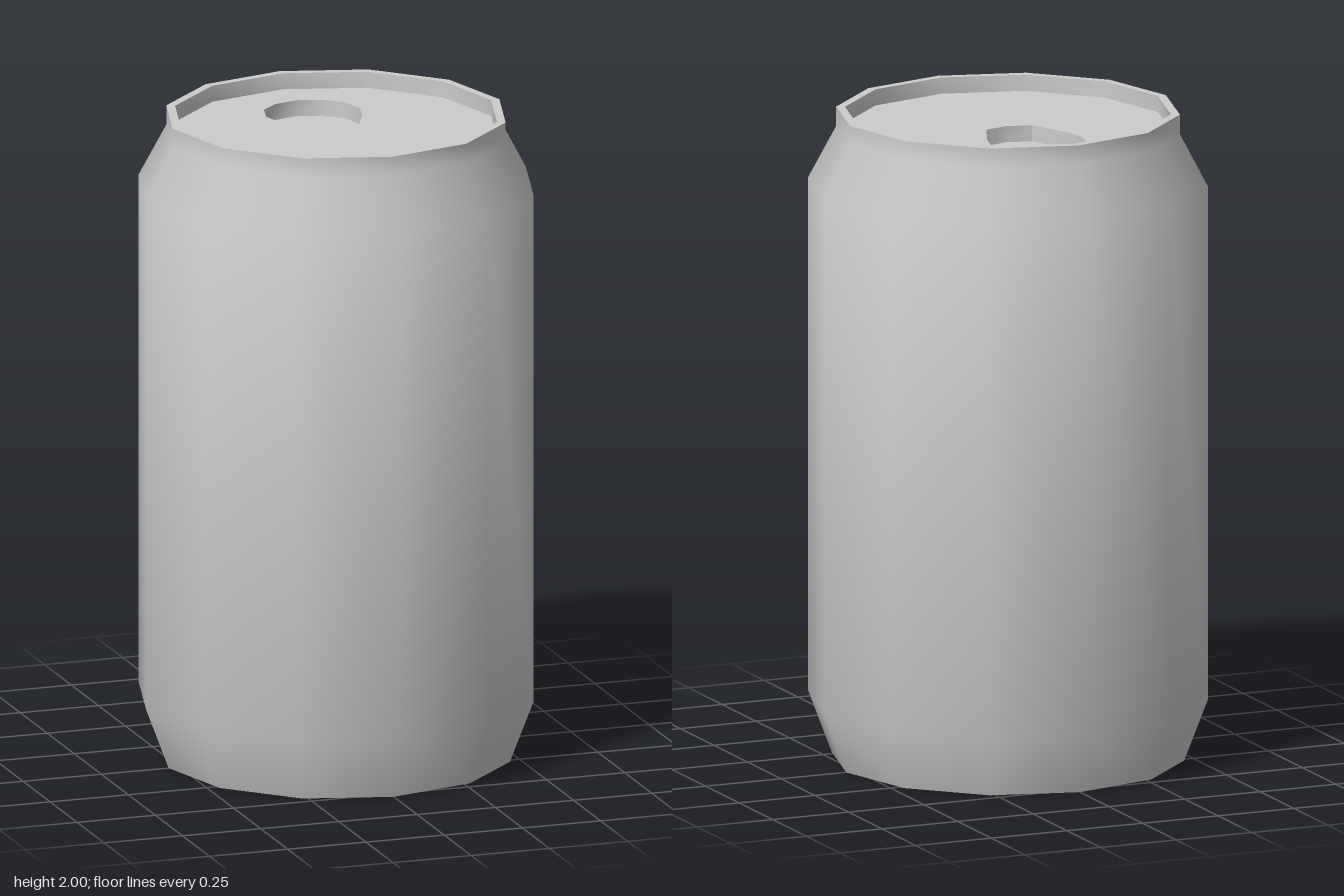
import * as THREE from 'three';
import { toCreasedNormals } from 'three/addons/utils/BufferGeometryUtils.js';

const SIDES = 12;
const LID_Y = 1.95, POCKET_Y = 1.9, BASE_Y = 0.05;
const LID_R = 0.495, BASE_R = 0.51;
const V = (x, y) => new THREE.Vector2(x, y);

// Drinking opening: right half (x, -z), then mirrored into a closed loop
function openingOutline() {
  const half = [V(0, -0.01), V(0.075, 0.01), V(0.13, 0.135), V(0.15, 0.213),
    V(0.13, 0.29), V(0.075, 0.342), V(0, 0.363)];
  const mirrored = half.slice(1, -1).reverse().map((p) => V(-p.x, p.y));
  return [...half, ...mirrored];
}

// Vertical wall below an outline, facing the inside of the loop
function pocketWall(outline, top, bottom) {
  const pos = [];
  outline.forEach((p, i) => {
    const q = outline[(i + 1) % outline.length];
    const a = [p.x, top, -p.y], b = [q.x, top, -q.y];
    const c = [q.x, bottom, -q.y], d = [p.x, bottom, -p.y];
    pos.push(...a, ...b, ...c, ...a, ...c, ...d);
  });
  const geo = new THREE.BufferGeometry();
  geo.setAttribute('position', new THREE.Float32BufferAttribute(pos, 3));
  return toCreasedNormals(geo, 0.7);
}

export function createModel() {
  const group = new THREE.Group();
  const material = new THREE.MeshStandardMaterial({ color: 0xcccccc });
  const add = (name, geometry) => {
    const mesh = new THREE.Mesh(geometry, material);
    mesh.name = name;
    group.add(mesh);
  };

  // Shell: recessed base wall, bevel, straight side, shoulder, rim and inner rim wall
  const profile = [V(BASE_R, BASE_Y), V(BASE_R, 0), V(0.535, 0), V(0.607, 0.19),
    V(0.607, 1.78), V(0.522, 1.94), V(0.522, 2), V(LID_R, 2), V(LID_R, LID_Y)];
  add('canBody', toCreasedNormals(new THREE.LatheGeometry(profile, SIDES), 0.7));

  // Recessed base panel
  add('basePanel', new THREE.CircleGeometry(BASE_R, SIDES).rotateX(Math.PI / 2).translate(0, BASE_Y, 0));

  // Lid with the opening cut out
  const outline = openingOutline();
  const rim = Array.from({ length: SIDES }, (_, i) => {
    const a = (i / SIDES) * Math.PI * 2;
    return V(LID_R * Math.cos(a), LID_R * Math.sin(a));
  });
  const lid = new THREE.Shape(rim);
  lid.holes.push(new THREE.Path([...outline, outline[0]]));
  add('lid', new THREE.ShapeGeometry(lid).rotateX(-Math.PI / 2).translate(0, LID_Y, 0));

  // Sunken pocket under the opening
  add('openingWall', pocketWall(outline, LID_Y, POCKET_Y));
  add('openingFloor', new THREE.ShapeGeometry(new THREE.Shape(outline))
    .rotateX(-Math.PI / 2).translate(0, POCKET_Y, 0));

  return group;
}
